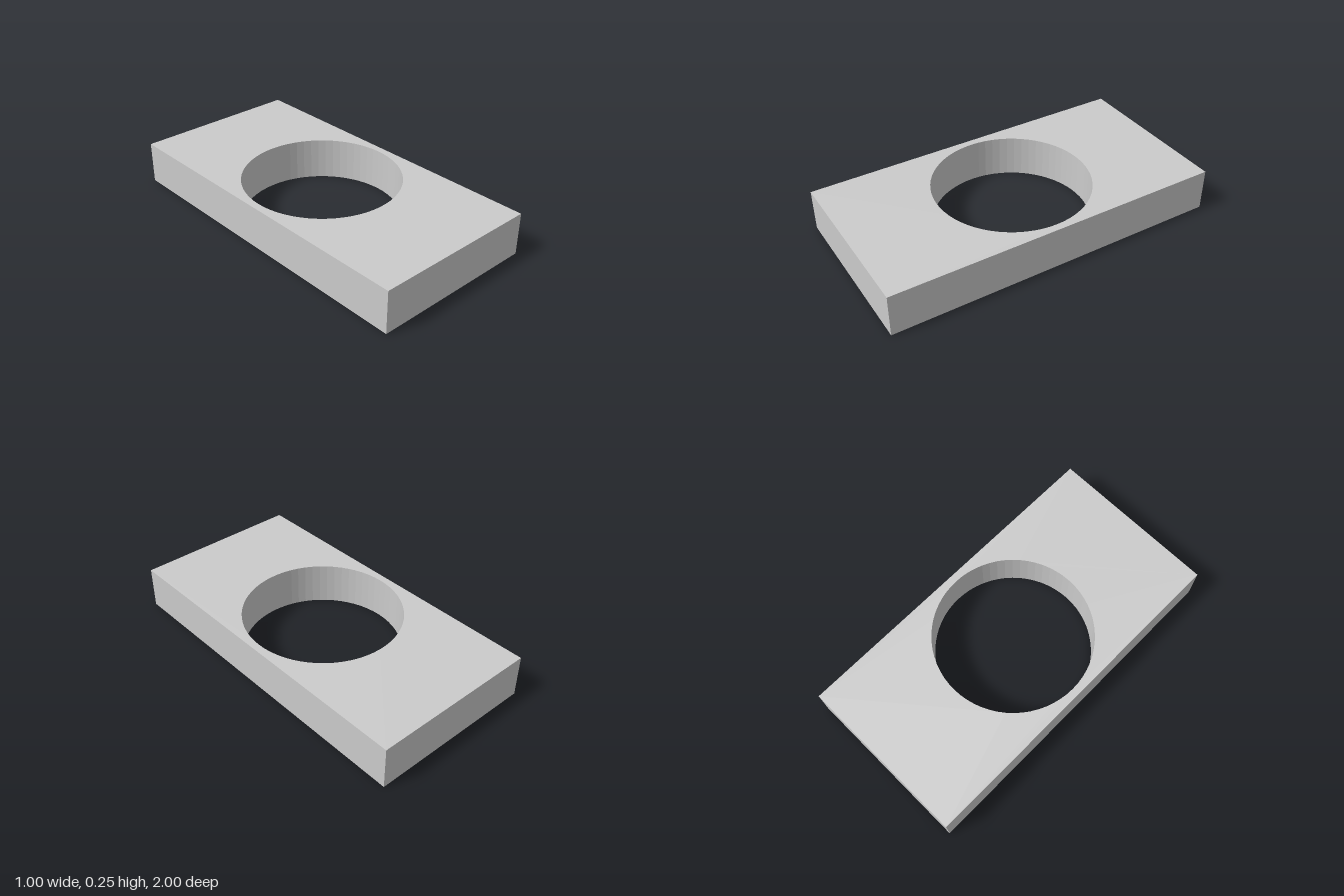
import * as THREE from 'three';

const WIDTH = 1, LENGTH = 2, HEIGHT = 0.25, HOLE_RADIUS = 0.457;

export function createModel() {
  const group = new THREE.Group();
  group.name = 'plateWithHole';

  // Rectangular outline
  const x = WIDTH / 2, z = LENGTH / 2;
  const outline = new THREE.Shape([
    new THREE.Vector2(-x, -z),
    new THREE.Vector2(x, -z),
    new THREE.Vector2(x, z),
    new THREE.Vector2(-x, z),
  ]);

  // Round through-hole in the centre
  const hole = new THREE.Path();
  hole.absarc(0, 0, HOLE_RADIUS, 0, Math.PI * 2, true);
  outline.holes.push(hole);

  // Extrude upwards; the hole wall gets 64 flat facets
  const geometry = new THREE.ExtrudeGeometry(outline, {
    depth: HEIGHT,
    bevelEnabled: false,
    curveSegments: 32,
  });
  geometry.rotateX(-Math.PI / 2);

  const plate = new THREE.Mesh(
    geometry,
    new THREE.MeshStandardMaterial({ color: 0xcccccc, flatShading: true })
  );
  plate.name = 'plate';
  group.add(plate);
  return group;
}
